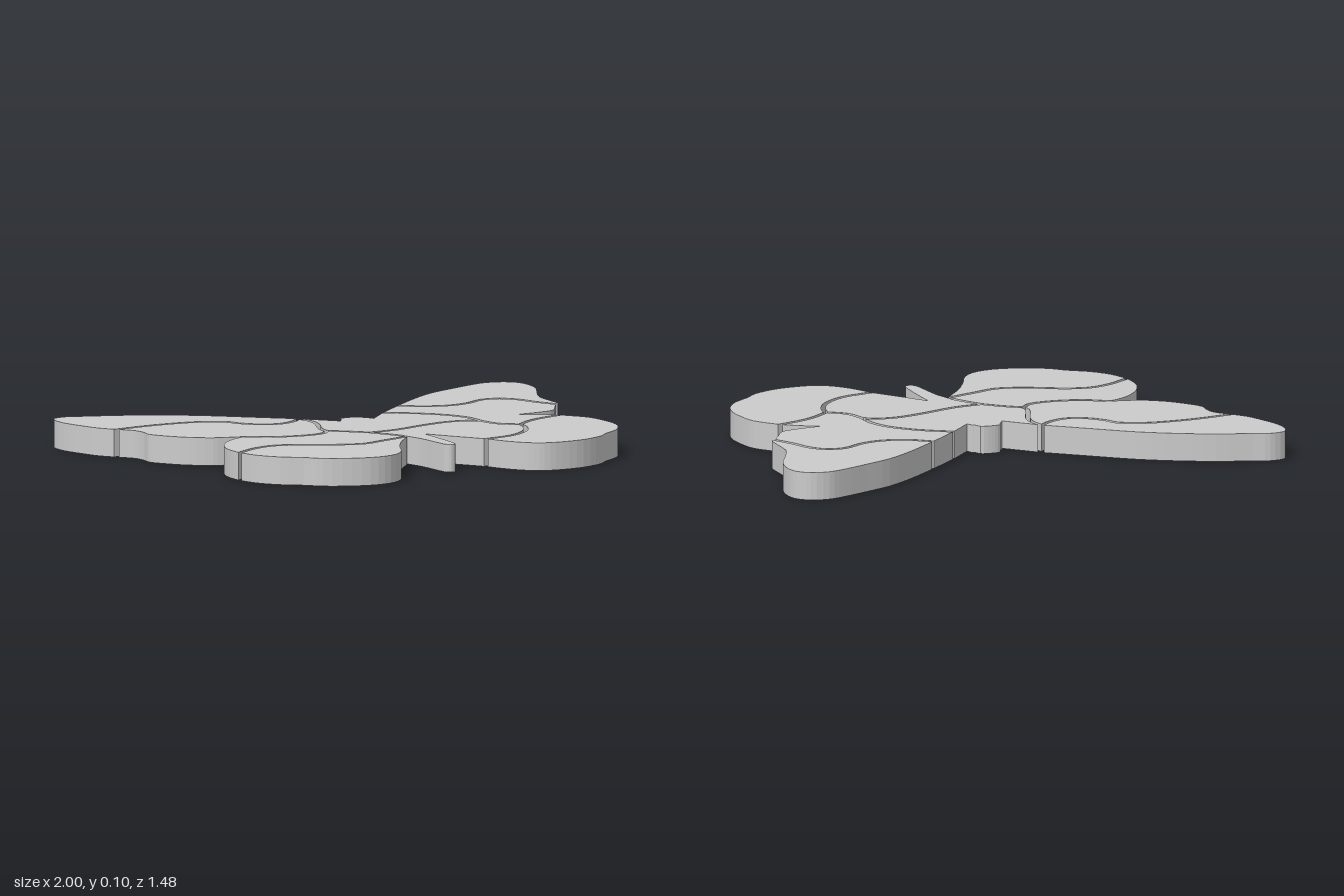
import * as THREE from 'three';

const HEIGHT = 0.105, HALF_GAP = 0.0085;

// Seams between pieces, as [x, z] points
const seams = {
  leftTip: [[-0.91, -0.36], [-0.8, -0.38], [-0.68, -0.39], [-0.55, -0.38], [-0.455, -0.33], [-0.435, -0.28], [-0.38, -0.215], [-0.31, -0.19], [-0.24, -0.215], [-0.18, -0.268]],
  leftMid: [[-0.58, 0.035], [-0.5, 0.09], [-0.39, 0.117], [-0.29, 0.105], [-0.24, 0.055]],
  leftRoot: [[-0.18, -0.268], [-0.17, -0.19], [-0.185, -0.12], [-0.22, -0.04], [-0.24, 0.02], [-0.24, 0.055]],
  leftLow: [[-0.8, 0.39], [-0.7, 0.32], [-0.6, 0.29], [-0.5, 0.32], [-0.39, 0.38], [-0.28, 0.41], [-0.18, 0.375], [-0.045, 0.325]],
  sideUpper: [[-0.24, 0.055], [-0.18, 0.105], [-0.12, 0.17]],
  sideLower: [[-0.12, 0.17], [-0.08, 0.245], [-0.045, 0.325]],
  waist: [[-0.12, 0.17], [0, 0.155], [0.15, 0.1], [0.27, 0.07], [0.35, 0.08], [0.39, 0.11]],
  rightRoot: [[0.17, -0.25], [0.28, -0.17], [0.36, -0.07], [0.39, 0.02], [0.39, 0.11]],
  rightLow: [[0.18, 0.525], [0.31, 0.49], [0.41, 0.41], [0.46, 0.32], [0.475, 0.26]],
  rightInner: [[0.475, 0.26], [0.41, 0.2], [0.39, 0.11]],
  rightTip: [[0.31, -0.385], [0.38, -0.325], [0.48, -0.295], [0.57, -0.315], [0.66, -0.367], [0.73, -0.36], [0.78, -0.3], [0.805, -0.22], [0.845, -0.13]],
  rightMid: [[0.72, 0.12], [0.6, 0.165], [0.53, 0.21], [0.475, 0.26]],
};

// Stretches of the outer silhouette
const rims = {
  tipL: [[-0.91, -0.36], [-0.95, -0.42], [-0.98, -0.51], [-1, -0.6], [-0.995, -0.68], [-0.97, -0.725], [-0.91, -0.737], [-0.85, -0.715], [-0.72, -0.67], [-0.59, -0.605], [-0.46, -0.52], [-0.32, -0.395], [-0.18, -0.268]],
  upperL: [[-0.91, -0.36], [-0.865, -0.3], [-0.858, -0.24], [-0.865, -0.19], [-0.83, -0.12], [-0.775, -0.05], [-0.7, 0.005], [-0.65, 0.02], [-0.58, 0.035]],
  lowerL: [[-0.58, 0.035], [-0.655, 0.075], [-0.73, 0.15], [-0.78, 0.24], [-0.797, 0.31], [-0.8, 0.39]],
  bottomL: [[-0.8, 0.39], [-0.775, 0.48], [-0.72, 0.56], [-0.65, 0.615], [-0.6, 0.67], [-0.5, 0.72], [-0.4, 0.737], [-0.31, 0.71], [-0.25, 0.645], [-0.205, 0.555], [-0.14, 0.445], [-0.045, 0.325]],
  shoulderL: [[-0.18, -0.268], [-0.07, -0.14]],
  head: [[-0.07, -0.14], [-0.06, -0.165], [-0.05, -0.172], [-0.04, -0.2], [0, -0.208], [0.04, -0.2], [0.05, -0.172], [0.06, -0.165], [0.07, -0.14]],
  shoulderR: [[0.07, -0.14], [0.17, -0.25]],
  tail: [[-0.045, 0.325], [-0.03, 0.4], [-0.025, 0.52], [-0.018, 0.58], [0, 0.59], [0.018, 0.58], [0.03, 0.5], [0.037, 0.4], [0.041, 0.303]],
  hip: [[0.041, 0.303], [0.1, 0.4], [0.18, 0.525]],
  bottomR: [[0.18, 0.525], [0.22, 0.62], [0.27, 0.69], [0.32, 0.722], [0.39, 0.731], [0.49, 0.718], [0.59, 0.67], [0.64, 0.62], [0.72, 0.555], [0.77, 0.48], [0.795, 0.4], [0.797, 0.3], [0.785, 0.22], [0.72, 0.12]],
  lowerR: [[0.58, 0.035], [0.64, 0.06], [0.72, 0.12]],
  upperR: [[0.845, -0.13], [0.8, -0.06], [0.76, 0], [0.7, 0.02], [0.58, 0.035]],
  tipR: [[0.31, -0.385], [0.46, -0.52], [0.58, -0.61], [0.7, -0.67], [0.81, -0.72], [0.88, -0.742], [0.95, -0.73], [0.99, -0.69], [1, -0.63], [0.98, -0.53], [0.93, -0.43], [0.88, -0.32], [0.87, -0.22], [0.86, -0.14], [0.845, -0.13]],
  edgeR: [[0.17, -0.25], [0.31, -0.385]],
};

// Each piece is a closed chain of stretches; a minus runs one backwards
const pieces = {
  leftWingTip: 'tipL -leftTip',
  leftUpperWing: 'leftTip leftRoot -leftMid -upperL',
  leftLowerWing: 'leftMid sideUpper sideLower -leftLow -lowerL',
  leftWingBottom: 'leftLow -bottomL',
  upperBody: 'shoulderL head shoulderR rightRoot -waist -sideUpper -leftRoot',
  lowerBody: 'waist -rightInner -rightLow -hip -tail -sideLower',
  rightUpperWing: 'edgeR rightTip upperR lowerR rightMid rightInner -rightRoot',
  rightWingBottom: 'rightLow -rightMid -bottomR',
  rightWingTip: 'tipR -rightTip',
};

// Smooth a stretch of points
function sample(points) {
  if (points.length < 3) return points.map(([x, z]) => new THREE.Vector2(x, -z));
  const curve = new THREE.CatmullRomCurve3(points.map(([x, z]) => new THREE.Vector3(x, -z, 0)));
  return curve.getPoints((points.length - 1) * 3).map(p => new THREE.Vector2(p.x, p.y));
}

// Closed contour whose seam edges are pulled in by half the gap
function contour(chain) {
  const pts = [], inset = [];
  for (const word of chain.split(' ')) {
    const name = word.replace('-', '');
    const run = sample(seams[name] || rims[name]);
    if (word[0] === '-') run.reverse();
    run.slice(0, -1).forEach(p => {
      pts.push(p);
      inset.push(seams[name] ? HALF_GAP : 0);
    });
  }
  const n = pts.length, side = Math.sign(THREE.ShapeUtils.area(pts));
  const dirs = pts.map((p, i) => pts[(i + 1) % n].clone().sub(p).normalize());
  return pts.map((p, i) => {
    const j = (i + n - 1) % n, a = dirs[j], b = dirs[i];
    const na = new THREE.Vector2(-a.y, a.x).multiplyScalar(side);
    const nb = new THREE.Vector2(-b.y, b.x).multiplyScalar(side);
    const cross = na.cross(nb);
    const shift = new THREE.Vector2();
    if (Math.abs(cross) < 0.15) {
      shift.addScaledVector(na, inset[j] / 2).addScaledVector(nb, inset[i] / 2);
    } else {
      shift.set(inset[j] * nb.y - inset[i] * na.y, inset[i] * na.x - inset[j] * nb.x).divideScalar(cross);
    }
    return p.clone().add(shift.clampLength(0, 0.03));
  });
}

export function createModel() {
  const group = new THREE.Group();
  group.name = 'butterflyPuzzle';
  const material = new THREE.MeshStandardMaterial({ color: 0xcccccc });
  for (const [name, chain] of Object.entries(pieces)) {
    const geometry = new THREE.ExtrudeGeometry(new THREE.Shape(contour(chain)), { depth: HEIGHT, bevelEnabled: false });
    geometry.rotateX(-Math.PI / 2);
    const mesh = new THREE.Mesh(geometry, material);
    mesh.name = name;
    group.add(mesh);
  }
  return group;
}
